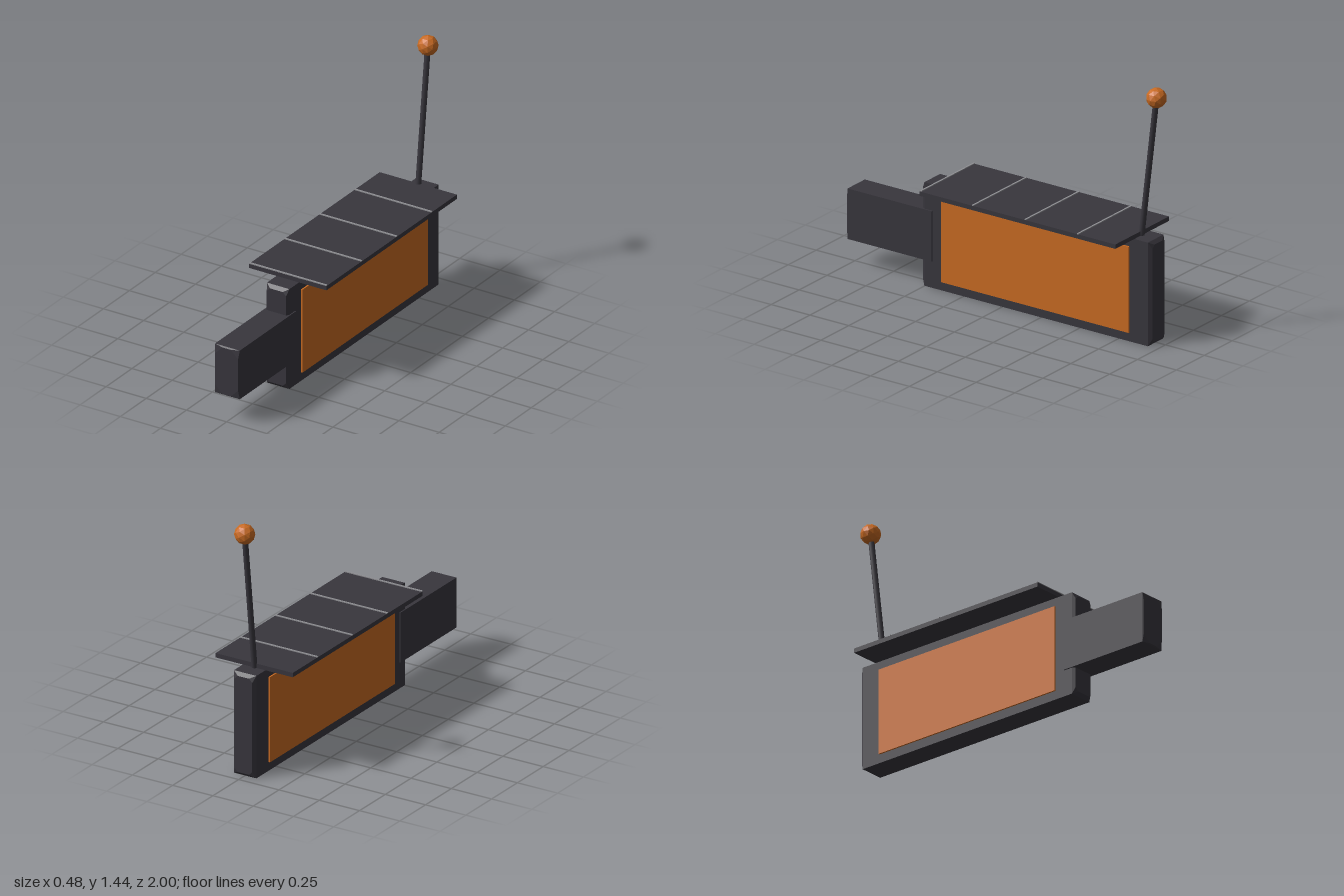
import * as THREE from 'three';
import { ConvexGeometry } from 'three/addons/geometries/ConvexGeometry.js';

const dark = new THREE.MeshStandardMaterial({ color: 0x38363d });
dark.name = 'charcoal';
const orange = new THREE.MeshStandardMaterial({ color: 0xc86a22, flatShading: true });
orange.name = 'orange';
const grey = new THREE.MeshStandardMaterial({ color: 0x8e8e92 });
grey.name = 'seam grey';

// Corners of a rectangle, each cut off by c, at depth z
function section(hx, y0, y1, z, c) {
  const pts = [];
  for (const s of [-1, 1]) {
    for (const [y, d] of [[y0, 1], [y1, -1]]) {
      pts.push(new THREE.Vector3(s * hx, y + d * c, z));
      if (c > 0) pts.push(new THREE.Vector3(s * (hx - c), y, z));
    }
  }
  return pts;
}

export function createModel() {
  const model = new THREE.Group();
  model.name = 'toolWithPlateAndLever';

  const add = (name, geometry, material, x = 0, y = 0, z = 0) => {
    const mesh = new THREE.Mesh(geometry, material);
    mesh.name = name;
    mesh.position.set(x, y, z);
    model.add(mesh);
    return mesh;
  };

  // Slim upright housing with bevelled ends
  add('housing', new ConvexGeometry([
    ...section(0.055, 0.018, 0.567, -0.955, 0.02),
    ...section(0.07, 0, 0.585, -0.937, 0),
    ...section(0.07, 0, 0.585, 0.502, 0),
    ...section(0.06, 0.018, 0.567, 0.52, 0.02),
  ]), dark);

  // Front block with a shallow octagonal end face
  add('frontBlock', new ConvexGeometry([
    ...section(0.077, 0.15, 0.435, 0.45, 0),
    ...section(0.077, 0.15, 0.435, 0.992, 0),
    ...section(0.071, 0.156, 0.429, 1.0, 0.045),
  ]), dark);

  // Coloured side panels
  for (const [name, s] of [['leftPanel', 1], ['rightPanel', -1]]) {
    add(name, new THREE.BoxGeometry(0.009, 0.486, 1.21), orange, s * 0.0745, 0.293, -0.215);
  }

  // Top plate with thin cross seams
  add('topPlate', new THREE.BoxGeometry(0.48, 0.025, 1.26), dark, 0, 0.5975, -0.22);
  for (const z of [-0.608, -0.27, 0.068, 0.405]) {
    add('plateSeam', new THREE.BoxGeometry(0.48, 0.006, 0.01), grey, 0, 0.612, z);
  }

  // Leaning rod with a faceted knob
  const foot = new THREE.Vector3(0, 0.57, -0.845);
  const tip = new THREE.Vector3(0, 1.38, -0.942);
  const along = tip.clone().sub(foot);
  const rod = add('rod', new THREE.CylinderGeometry(0.016, 0.016, along.length(), 8), dark);
  rod.position.copy(foot).add(tip).multiplyScalar(0.5);
  rod.quaternion.setFromUnitVectors(new THREE.Vector3(0, 1, 0), along.normalize());
  add('knob', new THREE.IcosahedronGeometry(0.056, 1), orange, 0, tip.y, tip.z);

  return model;
}
